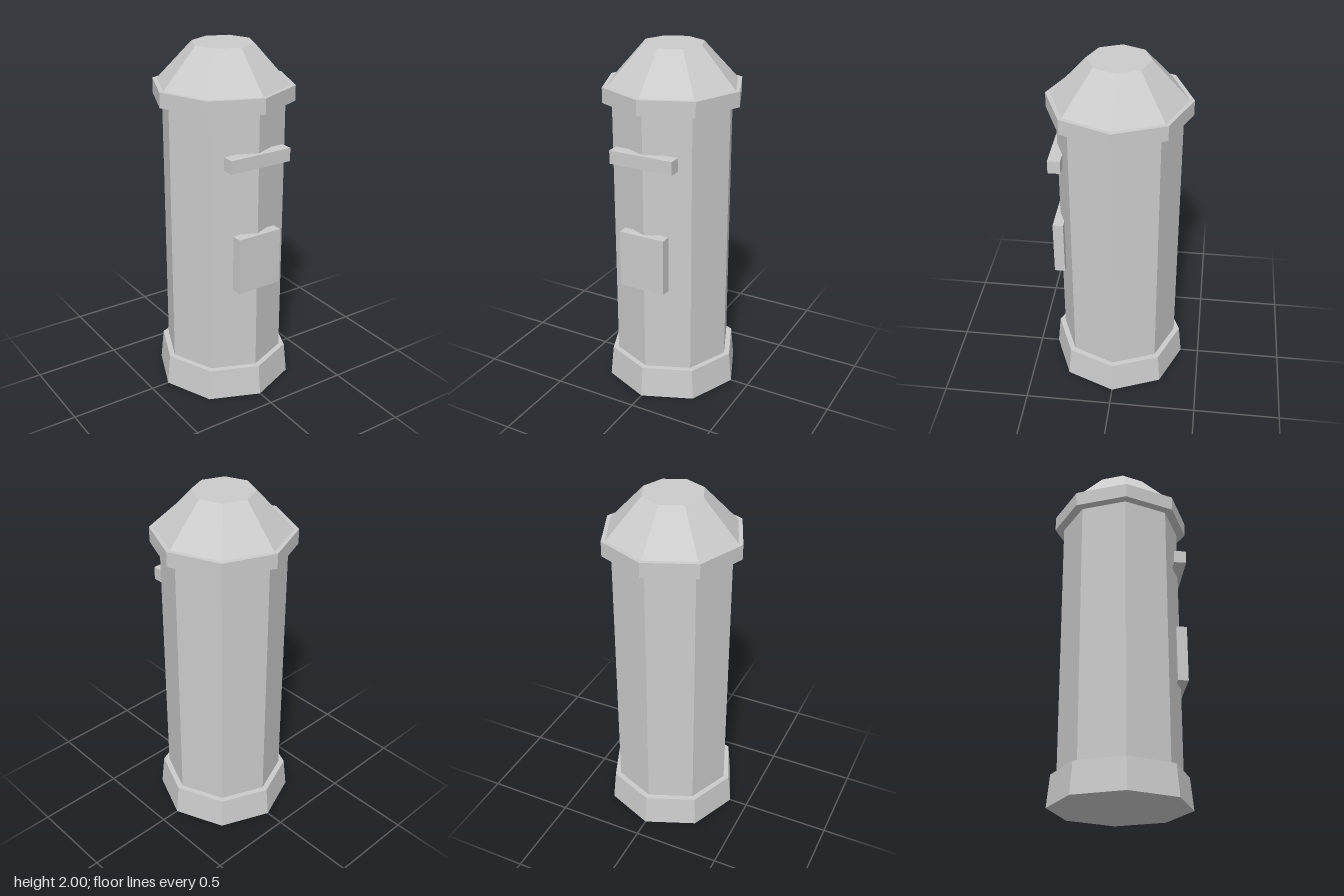
import * as THREE from 'three';

const SIDES = 8;

export function createModel() {
  const group = new THREE.Group();
  const material = new THREE.MeshStandardMaterial({ color: 0xcccccc, flatShading: true });

  const add = (name, geometry, x, y, z) => {
    const mesh = new THREE.Mesh(geometry, material);
    mesh.name = name;
    mesh.position.set(x, y, z);
    group.add(mesh);
  };

  // Octagonal tier from y0 to y1, with one corner facing the front
  const tier = (name, rBottom, rTop, y0, y1) =>
    add(name, new THREE.CylinderGeometry(rTop, rBottom, y1 - y0, SIDES), 0, (y0 + y1) / 2, 0);

  // Plate on the front, spanning y0..y1 and z0..z1
  const plate = (name, width, y0, y1, z0, z1) =>
    add(name, new THREE.BoxGeometry(width, y1 - y0, z1 - z0), 0, (y0 + y1) / 2, (z0 + z1) / 2);

  // Stacked pillar
  tier('base', 0.393, 0.375, 0, 0.18);
  tier('body', 0.342, 0.342, 0.18, 1.7);
  tier('collar', 0.394, 0.394, 1.7, 1.785);
  tier('cap', 0.37, 0.171, 1.785, 2);

  // Front fittings
  plate('slotHood', 0.376, 1.402, 1.477, 0.295, 0.365);
  plate('door', 0.27, 0.69, 1.016, 0.305, 0.365);

  return group;
}
